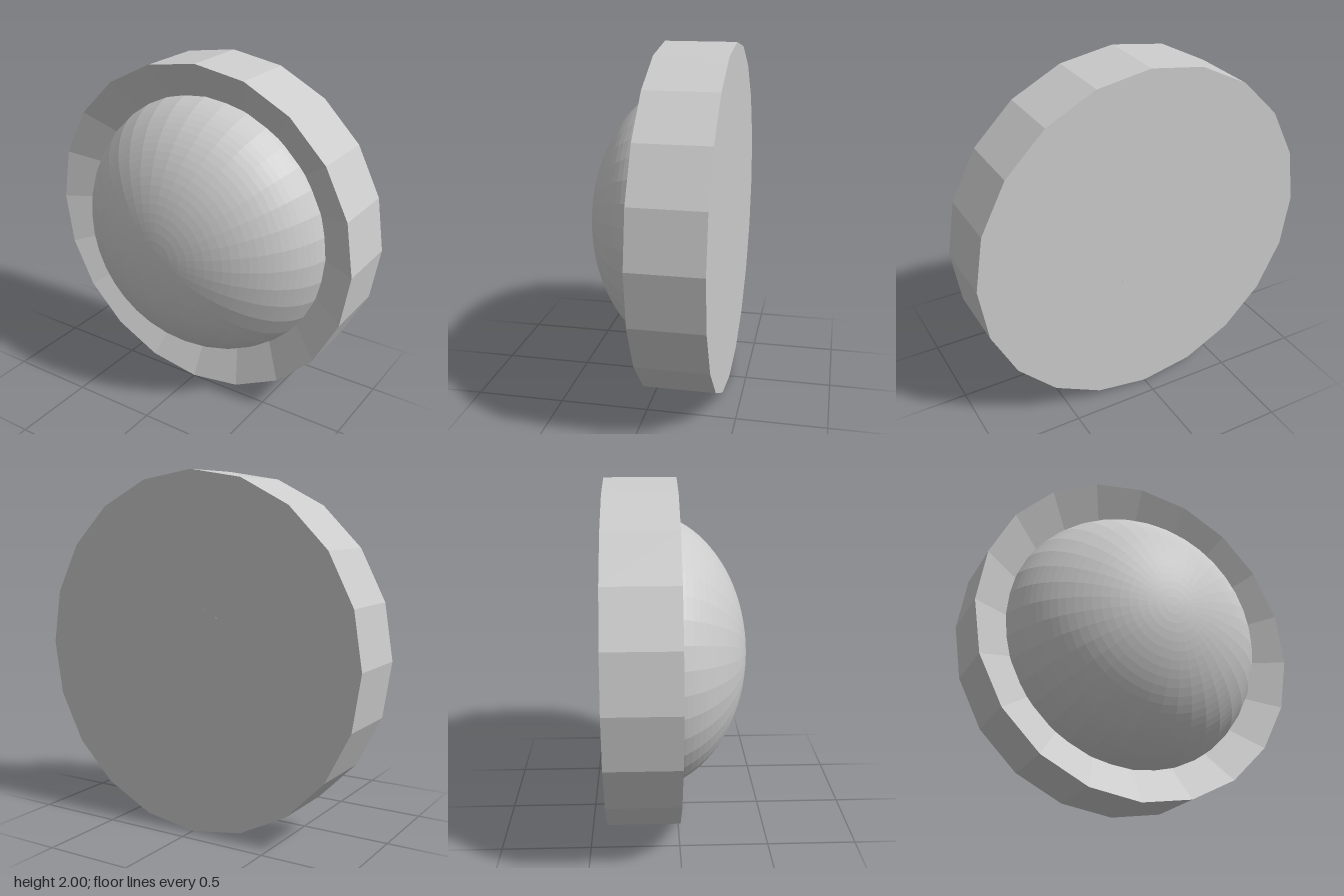
import * as THREE from 'three';

const SIDES = 20;

export function createModel() {
  const group = new THREE.Group();
  const material = new THREE.MeshStandardMaterial({ color: 0xcccccc, flatShading: true });

  // Every part is turned about y, then tipped so its axis points to the front
  const add = (name, geometry) => {
    const mesh = new THREE.Mesh(geometry.rotateX(Math.PI / 2).translate(0, 1, 0), material);
    mesh.name = name;
    group.add(mesh);
  };

  // Faceted housing: back plate, outer wall and conical funnel
  const profile = [[0.27, -0.4], [1, -0.4], [1, 0], [0.27, -0.4]]
    .map(([r, h]) => new THREE.Vector2(r, h));
  add('housing', new THREE.LatheGeometry(profile, SIDES));

  // Round stem closing the hole in the back plate
  add('stem', new THREE.CylinderGeometry(0.27, 0.27, 0.3, 36).translate(0, -0.25, 0));

  // Flattened dome seated in the funnel
  add('dome', new THREE.SphereGeometry(1, 36, 24, 0, Math.PI * 2, 0, Math.PI / 2)
    .scale(0.8, 0.6, 0.8).translate(0, -0.2, 0));

  return group;
}
